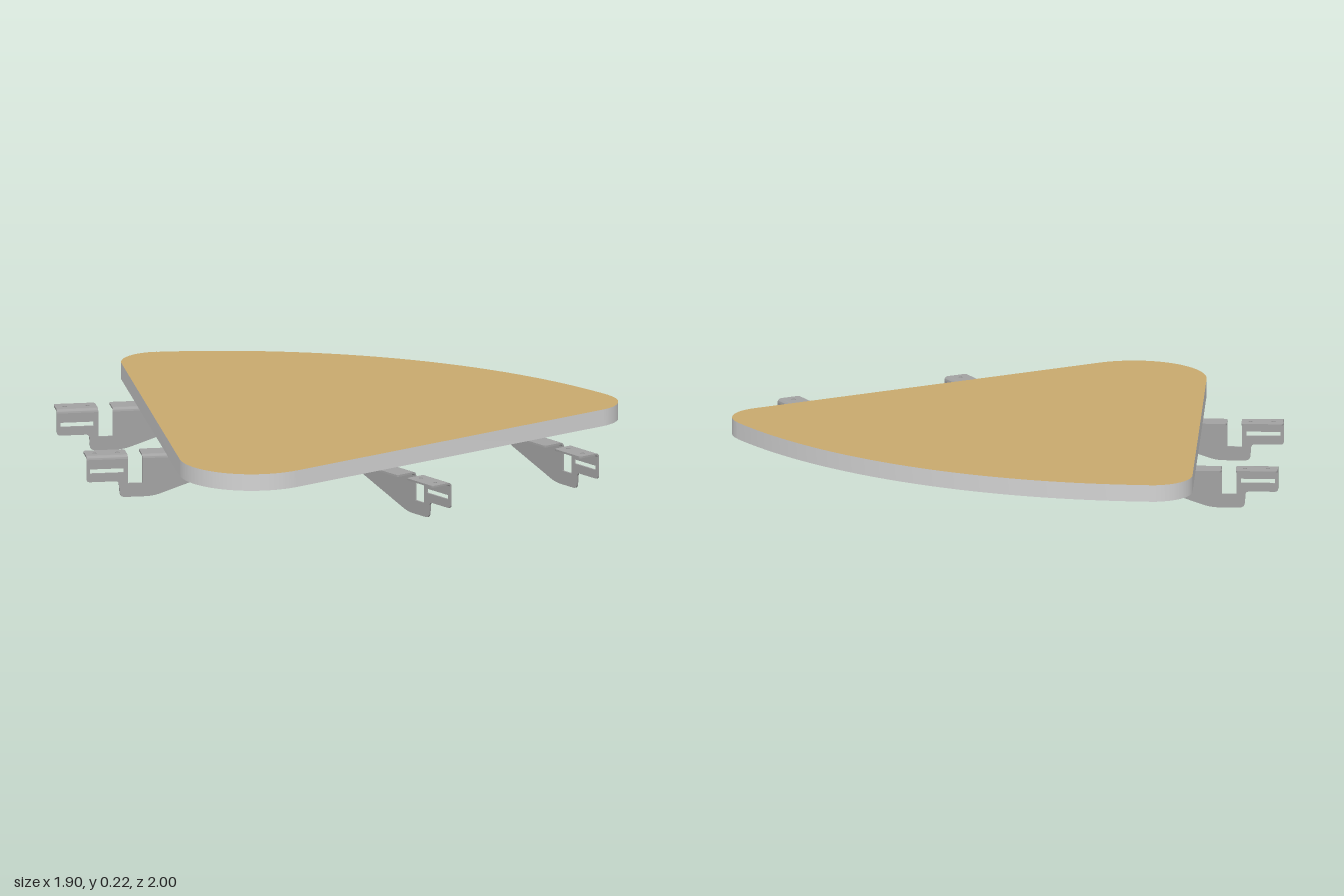
import * as THREE from 'three';
import { toCreasedNormals } from 'three/addons/utils/BufferGeometryUtils.js';

const rad = THREE.MathUtils.degToRad;
const T = 0.007;      // sheet metal thickness
const TOP = 0.157;    // underside of board, top of brackets
const BEND = 0.014;   // outer bend radius
const WIDTH = 0.088;  // flange width

// Polygon of [x, y, cornerRadius] with rounded corners
function roundedShape(points) {
  const shape = new THREE.Shape();
  const n = points.length;
  points.forEach(([x, y, r = 0], i) => {
    const p = new THREE.Vector2(x, y);
    const toward = ([a, b]) => new THREE.Vector2(a, b).sub(p).setLength(r).add(p);
    const a = r ? toward(points[(i + n - 1) % n]) : p;
    const b = r ? toward(points[(i + 1) % n]) : p;
    if (i === 0) shape.moveTo(a.x, a.y);
    else shape.lineTo(a.x, a.y);
    if (r) shape.quadraticCurveTo(x, y, b.x, b.y);
  });
  shape.closePath();
  return shape;
}

const extrude = (shape, depth, curveSegments = 6) =>
  new THREE.ExtrudeGeometry(shape, { depth, curveSegments, bevelEnabled: false });

function addMesh(parent, name, geometry, material) {
  const mesh = new THREE.Mesh(toCreasedNormals(geometry, rad(30)), material);
  mesh.name = name;
  parent.add(mesh);
}

// Rounded triangular board with one bowed side
function boardGeometry() {
  const s = new THREE.Shape();
  const a = Math.atan2(0.05, 1.695);
  const b = Math.atan2(1.45, 0.885);
  s.absarc(-0.63, -0.435, 0.265, rad(150), rad(270), false);
  s.absarc(0.795, -0.55, 0.15, rad(270), rad(360) + a, false);
  s.absarc(-0.9, -0.6, 1.847, a, b, false);
  s.absarc(-0.015, 0.85, 0.15, b, rad(150), false);
  s.closePath();
  return extrude(s, 0.062, 40).rotateX(-Math.PI / 2).translate(0, TOP, 0);
}

// Horizontal flange and its bend, from u0 to u1 behind the outer end
function addFlange(bracket, name, u0, u1, holes, material) {
  const plate = roundedShape([
    [-WIDTH, u0, 0.012], [-BEND, u0], [-BEND, u1], [-WIDTH, u1, 0.012],
  ]);
  for (const u of holes) {
    plate.holes.push(new THREE.Path().absarc(-0.047, u, 0.008, 0, Math.PI * 2, true));
  }
  addMesh(bracket, name,
    extrude(plate, T).rotateX(-Math.PI / 2).translate(0, TOP - T, 0), material);

  const bend = new THREE.Shape();
  bend.absarc(-BEND, TOP - BEND, BEND, 0, Math.PI / 2, false);
  bend.absarc(-BEND, TOP - BEND, BEND - T, Math.PI / 2, 0, true);
  bend.closePath();
  addMesh(bracket, name + 'Bend', extrude(bend, u1 - u0).translate(0, 0, -u1), material);
}

function makeBracket(material) {
  const bracket = new THREE.Group();
  const y = TOP - BEND;
  // Upright web: slotted tab, foot, notch and tapering arm
  const web = roundedShape([
    [0, y], [0, 0.06, 0.012], [0.118, 0.06, 0.012], [0.123, 0, 0.018],
    [0.245, 0, 0.03], [0.59, 0.118, 0.01], [0.59, y],
    [0.205, y], [0.205, 0.051], [0.152, 0.051], [0.152, y],
  ]);
  const slot = new THREE.Path();
  slot.moveTo(0.012, 0.092);
  slot.lineTo(0.012, 0.108);
  slot.lineTo(0.136, 0.108);
  slot.lineTo(0.136, 0.092);
  slot.closePath();
  web.holes.push(slot);
  addMesh(bracket, 'bracketWeb',
    extrude(web, T).rotateY(Math.PI / 2).translate(-T, 0, 0), material);
  addFlange(bracket, 'outerFlange', 0, 0.152, [0.036, 0.12], material);
  addFlange(bracket, 'innerFlange', 0.205, 0.59, [], material);
  return bracket;
}

export function createModel() {
  const wood = new THREE.MeshStandardMaterial({ color: 0xc8a96e });
  wood.name = 'tan board';
  const edge = new THREE.MeshStandardMaterial({ color: 0xd3d3d3 });
  edge.name = 'light grey edge';
  const metal = new THREE.MeshStandardMaterial({ color: 0xa2a2a2 });
  metal.name = 'grey metal';

  const model = new THREE.Group();
  model.name = 'cornerTabletop';
  addMesh(model, 'board', boardGeometry(), [wood, edge]);

  // Two brackets on the front side, two on the slanted side: x, z, turn
  const places = [
    ['frontBracketRight', -0.151, 1, 0],
    ['frontBracketLeft', 0.537, 1, 0],
    ['sideBracketBack', -0.604, -0.728, rad(-120)],
    ['sideBracketFront', -0.949, -0.126, rad(-120)],
  ];
  for (const [name, x, z, turn] of places) {
    const bracket = makeBracket(metal);
    bracket.name = name;
    bracket.position.set(x, 0, z);
    bracket.rotation.y = turn;
    model.add(bracket);
  }
  return model;
}
